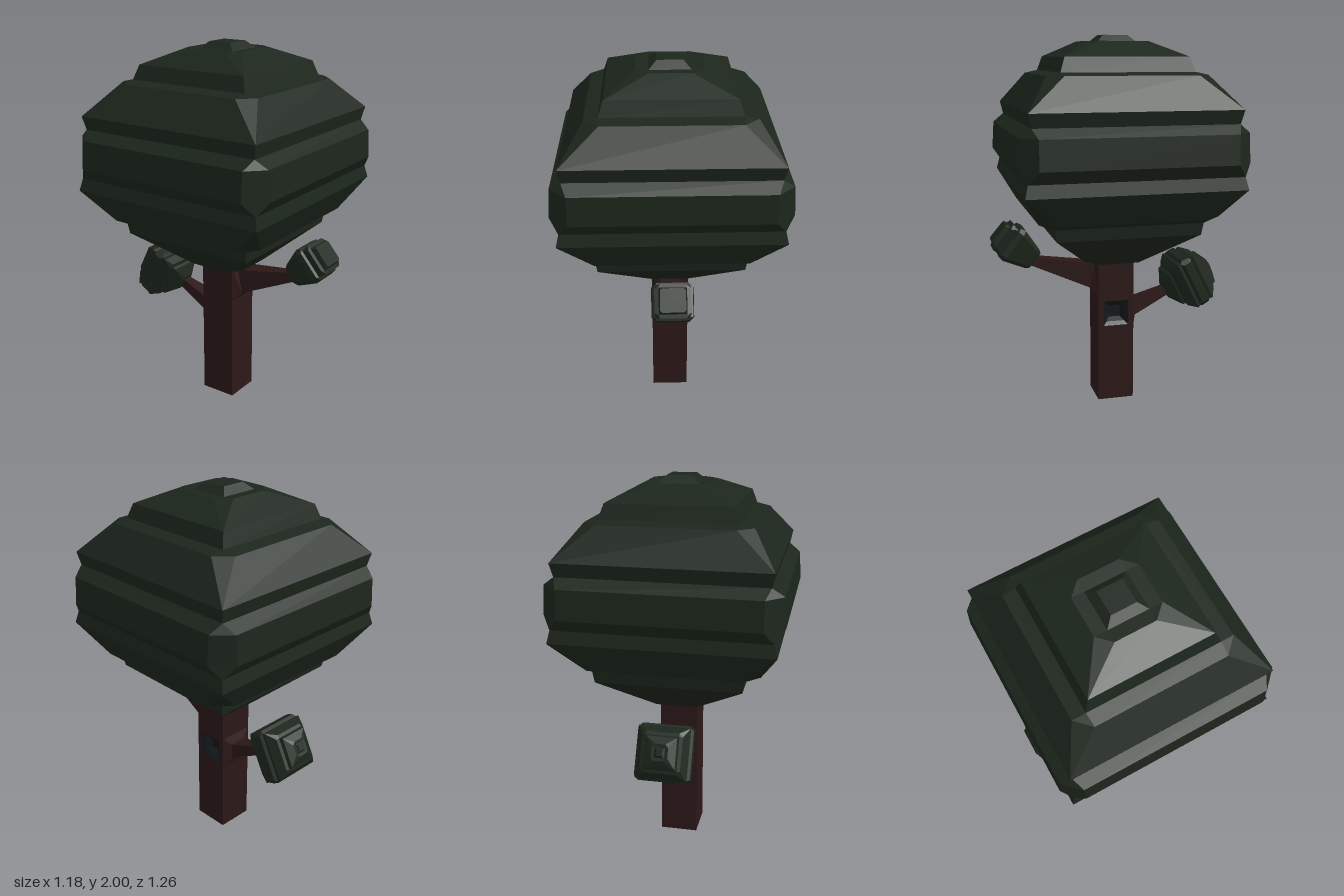
import * as THREE from 'three';

const mat = (color, side = THREE.FrontSide) =>
  new THREE.MeshStandardMaterial({ color, flatShading: true, side });
const leaf = mat(0x1c261c);
const bark = mat(0x2c1818);
const dark = mat(0x13181b, THREE.DoubleSide);
const CZ = -0.043; // trunk and crown axis

// Skin a stack of rings (equal point counts, counter-clockwise seen from the end) with flat caps
function loft(rings) {
  const pos = [];
  const tri = (...pts) => pts.forEach((p) => pos.push(...p));
  const n = rings[0].length;
  for (let i = 0; i < rings.length - 1; i++) {
    for (let j = 0; j < n; j++) {
      const k = (j + 1) % n, a = rings[i], b = rings[i + 1];
      tri(a[j], a[k], b[k]);
      tri(a[j], b[k], b[j]);
    }
  }
  const first = rings[0], last = rings[rings.length - 1];
  for (let j = 1; j < n - 1; j++) {
    tri(first[0], first[j + 1], first[j]);
    tri(last[0], last[j], last[j + 1]);
  }
  const g = new THREE.BufferGeometry();
  g.setAttribute('position', new THREE.Float32BufferAttribute(pos, 3));
  g.computeVertexNormals();
  return g;
}

// Square ring with cut corners: half = half width, flat = half length of each side
const cutSquare = ([y, half, flat = half]) => [
  [half, -flat], [half, flat], [flat, half], [-flat, half],
  [-half, flat], [-half, -flat], [-flat, -half], [flat, -half],
].map(([a, b]) => [a, y, -b]);

function add(group, name, geometry, material) {
  const mesh = new THREE.Mesh(geometry, material);
  mesh.name = name;
  group.add(mesh);
  return mesh;
}

// Crown profile from the bottom up: height, half width, side half length
const crownProfile = [
  [0, 0.17, 0.105], [0.185, 0.38], [0.25, 0.39], [0.28, 0.47, 0.39],
  [0.44, 0.56], [0.505, 0.545], [0.57, 0.59, 0.495], [0.72, 0.58, 0.495],
  [0.765, 0.52], [0.835, 0.535], [1.0, 0.415, 0.34], [1.015, 0.345],
  [1.09, 0.32], [1.168, 0.17, 0.105], [1.163, 0.105], [1.2, 0.065],
];

// Bud profile for the front branch
const budProfile = [
  [0, 0.05, 0.035], [0.02, 0.063, 0.045], [0.15, 0.1, 0.075], [0.18, 0.095, 0.075],
  [0.185, 0.08], [0.222, 0.086, 0.06], [0.225, 0.066], [0.25, 0.06, 0.05],
];

// Branch sections: half width, [z, y] of the lower edge, [z, y] of the upper edge
const branch = (s, sections) => loft(sections.map(([w, [z0, y0], [z1, y1]]) => [
  [-s * w, y0, z0], [s * w, y0, z0], [s * w, y1, z1], [-s * w, y1, z1],
]));

export function createModel() {
  const tree = new THREE.Group();
  tree.name = 'tree';

  // Trunk: solid core plus an outer layer pierced by the hollow
  const core = add(tree, 'trunk', new THREE.BoxGeometry(0.15, 0.805, 0.2), bark);
  core.position.set(-0.025, 0.4025, CZ);
  const side = new THREE.Shape([[-0.1, 0], [0.1, 0], [0.1, 0.805], [-0.1, 0.805]]
    .map(([x, y]) => new THREE.Vector2(x, y)));
  side.holes.push(new THREE.Path([[-0.07, 0.43], [-0.07, 0.57], [0.07, 0.57], [0.07, 0.43]]
    .map(([x, y]) => new THREE.Vector2(x, y))));
  const layer = add(tree, 'trunkSide',
    new THREE.ExtrudeGeometry(side, { depth: 0.05, bevelEnabled: false }), bark);
  layer.rotation.y = Math.PI / 2;
  layer.position.set(0.05, 0, CZ);

  // Hollow: stepped recess narrowing inwards
  const hollow = new THREE.Group();
  hollow.name = 'hollow';
  [[0.07, 0.05, 0.1, 0.085], [0.05, 0.032, 0.085, 0.055]].forEach(([r0, r1, x0, x1]) => {
    const g = new THREE.CylinderGeometry(r0 * Math.SQRT2, r1 * Math.SQRT2, x0 - x1, 4, 1, true);
    g.rotateY(Math.PI / 4).rotateZ(-Math.PI / 2).translate((x0 + x1) / 2, 0.5, CZ);
    add(hollow, 'hollowRim', g, dark);
  });
  const back = add(hollow, 'hollowBack', new THREE.PlaneGeometry(0.064, 0.064), dark);
  back.rotation.y = Math.PI / 2;
  back.position.set(0.055, 0.5, CZ);
  tree.add(hollow);

  // Crown
  add(tree, 'crown', loft(crownProfile.map(cutSquare)), leaf).position.set(0, 0.8, CZ);

  // Front branch with a small bud of leaves
  add(tree, 'frontBranch', branch(1, [
    [0.1, [0.055, 0.6], [0.055, 0.8]],
    [0.06, [0.095, 0.645], [0.07, 0.775]],
    [0.025, [0.43, 0.79], [0.41, 0.83]],
  ]), bark);
  const bud = add(tree, 'frontLeaves', loft(budProfile.map(cutSquare)), leaf);
  bud.position.set(0, 0.812, 0.395);
  bud.rotation.x = 0.868;
  bud.scale.x = 1.07;

  // Back branch with a small copy of the crown
  add(tree, 'backBranch', branch(-1, [
    [0.1, [-0.14, 0.4], [-0.14, 0.6]],
    [0.05, [-0.165, 0.465], [-0.16, 0.545]],
    [0.025, [-0.38, 0.57], [-0.37, 0.615]],
  ]), bark);
  const ball = add(tree, 'backLeaves', loft(crownProfile.map(cutSquare)), leaf);
  ball.scale.setScalar(0.25);
  ball.rotation.x = -1.1;
  ball.position.set(0, 0.583, -0.352);

  return tree;
}
